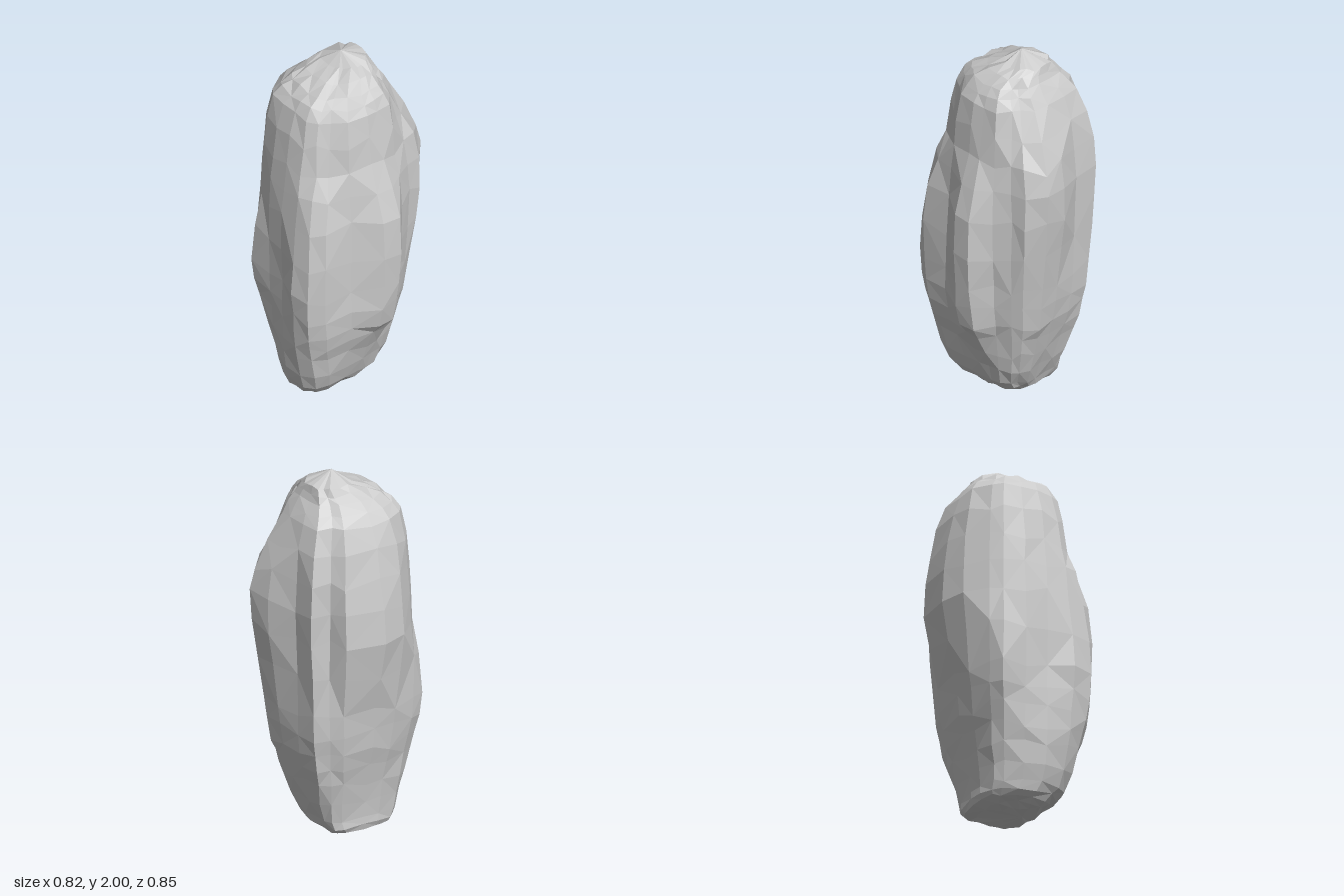
import * as THREE from 'three';

// Widest reach (x, z) of each vertical ridge, starting at the back and turning through +x
const RIDGES = [
  [0.17, -0.425], [0.26, -0.35], [0.27, -0.26], [0.32, -0.17], [0.41, -0.085], [0.40, 0.02],
  [0.315, 0.165], [0.31, 0.335], [0.25, 0.405], [0.145, 0.42], [0.01, 0.37], [-0.11, 0.355],
  [-0.25, 0.355], [-0.29, 0.285], [-0.365, 0.165], [-0.41, 0.025], [-0.375, -0.195],
  [-0.275, -0.225], [-0.265, -0.33], [-0.12, -0.33], [0.03, -0.40],
];
// How far every ridge reaches at the main heights, as a share of its widest reach
const HEIGHTS = [0.12, 0.33, 0.52, 0.75, 1.17, 1.48, 1.77];
const REACH = [
  [.42, .45, .57, .57, .46, .47, .6, .62, .68, .76, .87, .8, .67, .71, .62, .55, .56, .68, .53, .53, .45],
  [.61, .68, .75, .72, .62, .65, .82, .79, .85, .89, .98, .9, .79, .8, .68, .61, .65, .82, .75, .76, .64],
  [.75, .79, .86, .84, .88, .91, .97, .92, .95, .95, 1, .97, .9, .91, .8, .73, .77, .92, .86, .9, .79],
  [.83, .87, .93, .93, .98, .99, 1, .98, 1, 1, 1, 1, 1, .98, .88, .79, .84, .99, .93, .97, .87],
  [.98, .98, 1, 1, .99, 1, .95, .94, .92, .91, 1, 1, .88, .95, 1, 1, 1, 1, 1, 1, 1],
  [.95, .91, .92, .88, .74, .74, .86, .7, .72, .81, .92, .94, .85, .9, .95, .9, .94, 1, .99, 1, .96],
  [.63, .6, .72, .8, .64, .65, .78, .58, .6, .66, .76, .78, .74, .8, .8, .72, .74, .83, .79, .84, .7],
];
// Closing rings: height, scale of the nearest main section, offset in x and z
const FOOT = [[0.02, 0.4, 0, 0.07], [0.05, 0.82, -0.03, 0.01]];
const CAP = [[1.87, 0.74, 0.01, -0.01], [1.945, 0.39, -0.02, -0.08]];

let seed = 7;
function jitter(amount) {
  seed = (seed * 16807) % 2147483647;
  return (seed / 2147483647 - 0.5) * amount;
}

// Curve running up one ridge from the foot to the cap
function ridgeCurve([x, z], i) {
  const closing = (rings, section) => rings.map(([y, scale, dx, dz]) => {
    const r = REACH[section][i] * scale;
    return new THREE.Vector3(x * r + dx, y, z * r + dz);
  });
  const body = HEIGHTS.map((y, s) => new THREE.Vector3(x * REACH[s][i], y, z * REACH[s][i]));
  return new THREE.CatmullRomCurve3([
    ...closing(FOOT, 0), ...body, ...closing(CAP, HEIGHTS.length - 1),
  ]);
}

function createStoneGeometry() {
  const n = RIDGES.length;
  const steps = 2 * (HEIGHTS.length + FOOT.length + CAP.length - 1);
  const curves = RIDGES.map(ridgeCurve);
  const positions = [], index = [];

  // Rings with slightly uneven corners
  for (let i = 0; i <= steps; i++) {
    for (const curve of curves) {
      const p = curve.getPoint(i / steps);
      const sway = p.y > 0.25 && p.y < 1.7 ? 0.05 : 0.02;
      positions.push(p.x + jitter(0.008), p.y + jitter(sway), p.z + jitter(0.008));
    }
  }

  // Side faces, with the diagonal alternating for an irregular chipped look
  for (let i = 0; i < steps; i++) {
    for (let j = 0; j < n; j++) {
      const k = (j + 1) % n;
      const a = i * n + j, b = i * n + k, c = a + n, d = b + n;
      if ((i + j) % 2) index.push(a, c, b, b, c, d);
      else index.push(a, c, d, a, d, b);
    }
  }

  // Underside and peak
  const foot = positions.length / 3, peak = foot + 1, last = steps * n;
  positions.push(0.01, 0, 0.13, -0.02, 2, -0.05);
  for (let j = 0; j < n; j++) {
    const k = (j + 1) % n;
    index.push(foot, j, k, peak, last + k, last + j);
  }

  const geometry = new THREE.BufferGeometry();
  geometry.setAttribute('position', new THREE.Float32BufferAttribute(positions, 3));
  geometry.setIndex(index);
  geometry.computeVertexNormals();
  return geometry;
}

export function createModel() {
  const group = new THREE.Group();
  group.name = 'standingStone';
  const material = new THREE.MeshStandardMaterial({ color: 0xcccccc, flatShading: true });
  const stone = new THREE.Mesh(createStoneGeometry(), material);
  stone.name = 'stone';
  group.add(stone);
  return group;
}
